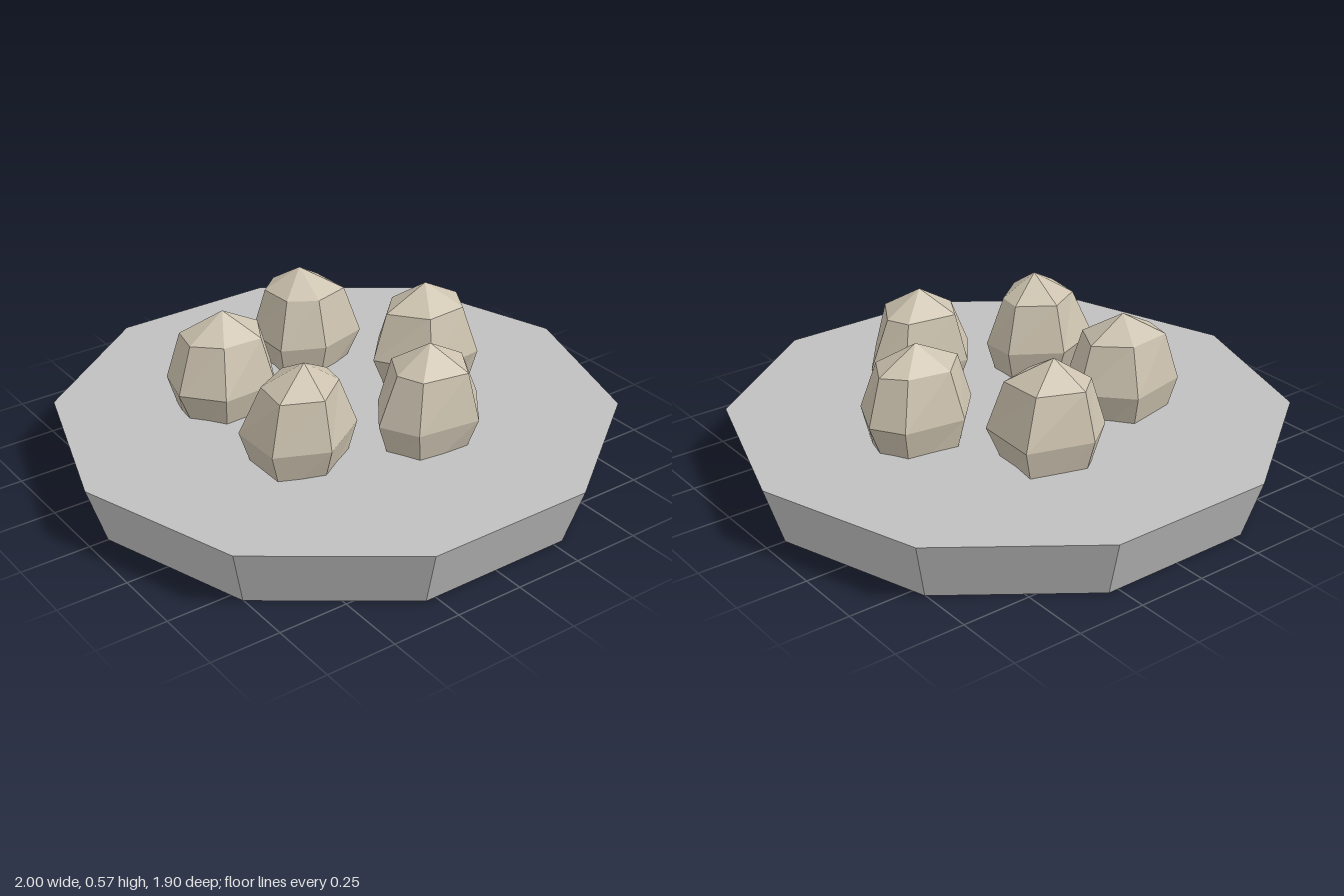
import * as THREE from 'three';

const stone = new THREE.MeshStandardMaterial({ color: 0xcbc1ae, flatShading: true });
stone.name = 'sandy stone';
const grey = new THREE.MeshStandardMaterial({ color: 0xc0c0c0, flatShading: true, side: THREE.DoubleSide });
grey.name = 'grey base';

const TOP = 0.215;

// Widest outline of each rock as x, z pairs, with its peak
const ROCKS = [
  { peak: [0.40, -0.01], rim: [0.18, -0.02, 0.31, -0.16, 0.53, -0.13, 0.60, -0.02, 0.53, 0.14, 0.30, 0.165] },
  { peak: [0.12, 0.37], rim: [-0.09, 0.37, 0.02, 0.22, 0.27, 0.25, 0.34, 0.36, 0.21, 0.53, -0.02, 0.50] },
  { peak: [-0.30, 0.24], rim: [-0.49, 0.33, -0.49, 0.13, -0.29, 0.05, -0.12, 0.16, -0.12, 0.29, -0.31, 0.41] },
  { peak: [-0.31, -0.24], rim: [-0.52, -0.20, -0.48, -0.35, -0.25, -0.40, -0.11, -0.25, -0.20, -0.08, -0.41, -0.07] },
  { peak: [0.11, -0.38], rim: [-0.05, -0.27, -0.05, -0.46, 0.07, -0.55, 0.30, -0.48, 0.29, -0.25, 0.10, -0.20] },
];

// Rings from shoulder to underside: height and share of the widest outline
const RINGS = [[0.49, 0.71], [0.32, 1], [0.145, 0.71]];

function rockGeometry({ peak: [px, pz], rim }, seed) {
  const n = rim.length / 2;
  const positions = [px, 0.573, pz];
  RINGS.forEach(([y, share], r) => {
    for (let i = 0; i < n; i++) {
      // Slight unevenness on the narrower rings
      const s = share === 1 ? 1 : share + 0.06 * Math.sin(seed * 2.3 + i * 4.1 + r);
      positions.push(px + (rim[2 * i] - px) * s, y, pz + (rim[2 * i + 1] - pz) * s);
    }
  });
  positions.push(px, 0.07, pz);

  const index = [];
  const last = 1 + RINGS.length * n;
  const at = (r, i) => 1 + r * n + (i % n);
  for (let i = 0; i < n; i++) {
    index.push(0, at(0, i + 1), at(0, i));
    for (let r = 0; r < RINGS.length - 1; r++) {
      const a = at(r, i), b = at(r, i + 1), c = at(r + 1, i + 1), d = at(r + 1, i);
      index.push(a, b, c, a, c, d);
    }
    index.push(last, at(RINGS.length - 1, i), at(RINGS.length - 1, i + 1));
  }
  const geometry = new THREE.BufferGeometry();
  geometry.setAttribute('position', new THREE.Float32BufferAttribute(positions, 3));
  geometry.setIndex(index);
  geometry.computeVertexNormals();
  return geometry;
}

export function createModel() {
  const model = new THREE.Group();
  model.name = 'rockRing';
  const add = (name, geometry, material) => {
    const mesh = new THREE.Mesh(geometry, material);
    mesh.name = name;
    model.add(mesh);
    return mesh;
  };

  // Ten-sided base, open underneath
  add('baseWall', new THREE.CylinderGeometry(1, 0.93, TOP, 10, 1, true, Math.PI / 2), grey).position.y = TOP / 2;
  add('baseTop', new THREE.CircleGeometry(1, 10).rotateX(-Math.PI / 2), grey).position.y = TOP;

  // Rocks sunk through the top
  ROCKS.forEach((rock, i) => add(`rock${i + 1}`, rockGeometry(rock, i + 1), stone));

  return model;
}
